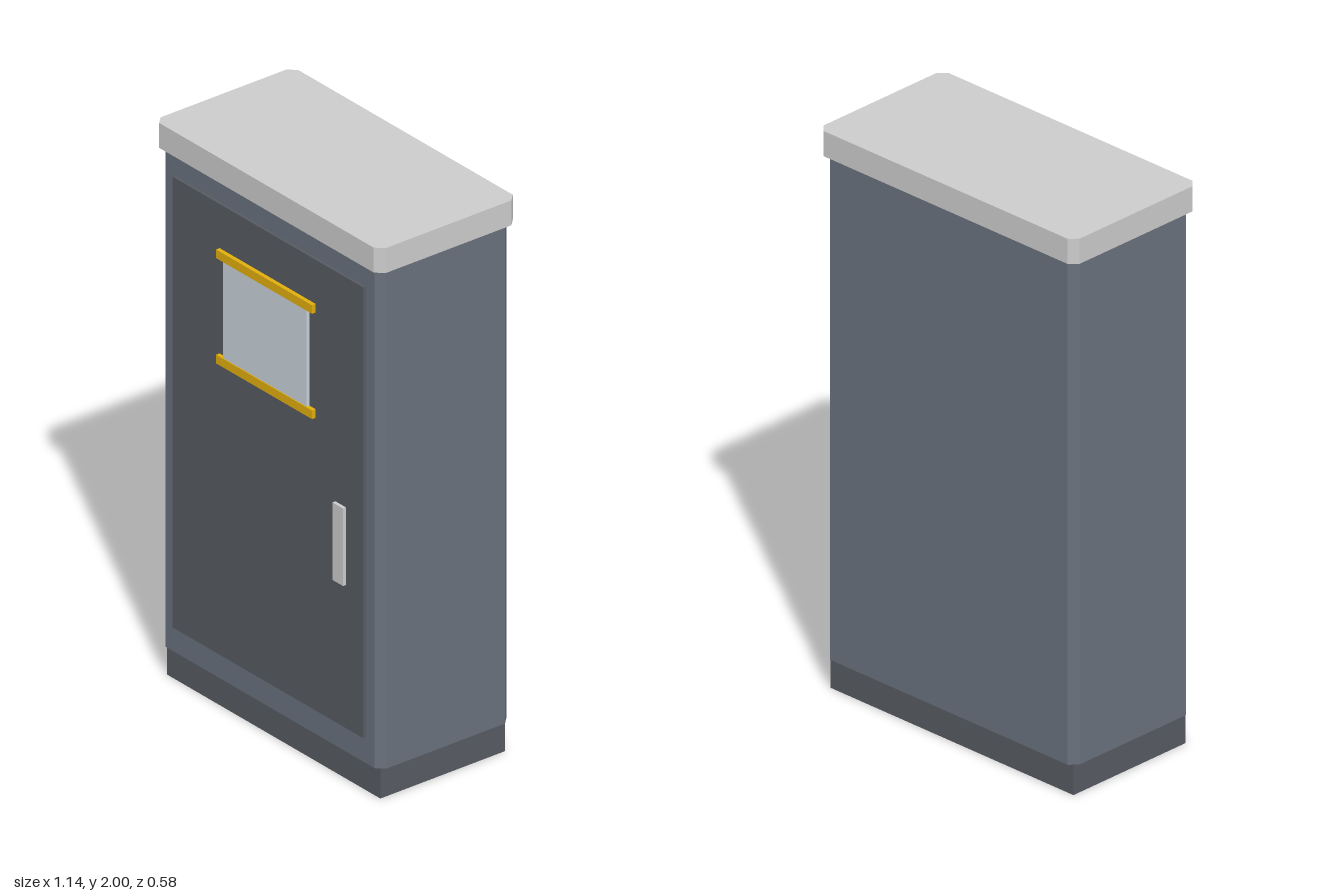
import * as THREE from 'three';

const mat = (color) => new THREE.MeshStandardMaterial({ color, flatShading: true });

// Box given by its x, y and z ranges
function box(name, [x0, x1], [y0, y1], [z0, z1], material) {
  const mesh = new THREE.Mesh(new THREE.BoxGeometry(x1 - x0, y1 - y0, z1 - z0), material);
  mesh.position.set((x0 + x1) / 2, (y0 + y1) / 2, (z0 + z1) / 2);
  mesh.name = name;
  return mesh;
}

// Upright prism with a rectangular plan and chamfered vertical corners
function chamferedPrism(name, hx, hz, c, y0, y1, material) {
  const plan = new THREE.Shape([
    [hx, -hz + c], [hx, hz - c], [hx - c, hz], [-hx + c, hz],
    [-hx, hz - c], [-hx, -hz + c], [-hx + c, -hz], [hx - c, -hz],
  ].map(([x, y]) => new THREE.Vector2(x, y)));
  const geometry = new THREE.ExtrudeGeometry(plan, { depth: y1 - y0, bevelEnabled: false });
  geometry.rotateX(-Math.PI / 2);
  const mesh = new THREE.Mesh(geometry, material);
  mesh.position.set(0, y0, -0.005);
  mesh.name = name;
  return mesh;
}

export function createModel() {
  const group = new THREE.Group();
  group.name = 'cabinet';
  const shell = mat(0x69717d);
  const dark = mat(0x565a61);
  const light = mat(0xcccccc);
  const glass = mat(0xc8d2da);
  const yellow = mat(0xe0ae0c);

  // Plinth, cabinet body and overhanging lid
  group.add(box('plinth', [-0.54, 0.54], [0, 0.11], [-0.26, 0.25], dark));
  group.add(chamferedPrism('body', 0.555, 0.27, 0.026, 0.11, 1.91, shell));
  group.add(chamferedPrism('lid', 0.57, 0.285, 0.027, 1.91, 2, light));

  // Door panel with sign plate and handle
  group.add(box('door', [-0.483, 0.483], [0.203, 1.83], [0.25, 0.275], dark));
  group.add(box('signPlate', [-0.212, 0.212], [1.275, 1.655], [0.27, 0.287], glass));
  group.add(box('handle', [0.343, 0.397], [0.72, 1], [0.27, 0.287], light));

  // Yellow rails holding the plate
  for (const [name, y] of [['lowerRail', 1.26], ['upperRail', 1.64]]) {
    group.add(box(name, [-0.243, 0.243], [y, y + 0.031], [0.27, 0.29], yellow));
  }
  return group;
}
